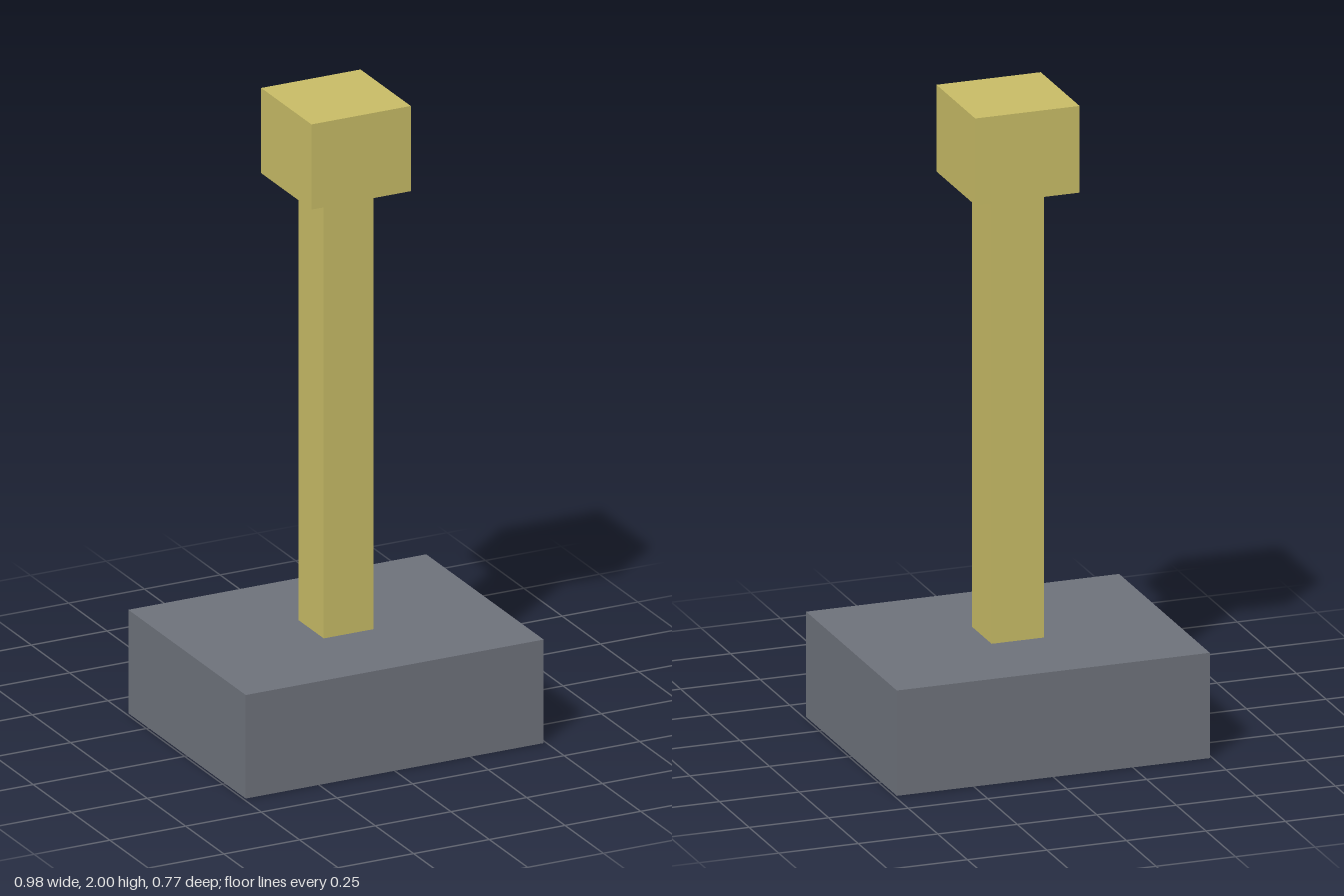
import * as THREE from 'three';

const brass = new THREE.MeshStandardMaterial({ color: 0xc8bc66 });
brass.name = 'brass yellow';
const slate = new THREE.MeshStandardMaterial({ color: 0x6e727b });
slate.name = 'slate grey';

// Box spanning from bottom to top, centred on the vertical axis
function block(name, width, depth, bottom, top, material) {
  const mesh = new THREE.Mesh(new THREE.BoxGeometry(width, top - bottom, depth), material);
  mesh.name = name;
  mesh.position.y = (bottom + top) / 2;
  return mesh;
}

export function createModel() {
  const model = new THREE.Group();
  model.name = 'lever';
  model.add(
    block('base', 0.984, 0.766, 0, 0.328, slate),
    block('shaft', 0.164, 0.164, 0.328, 1.73, brass),
    block('knob', 0.328, 0.328, 1.73, 2, brass),
  );
  return model;
}
